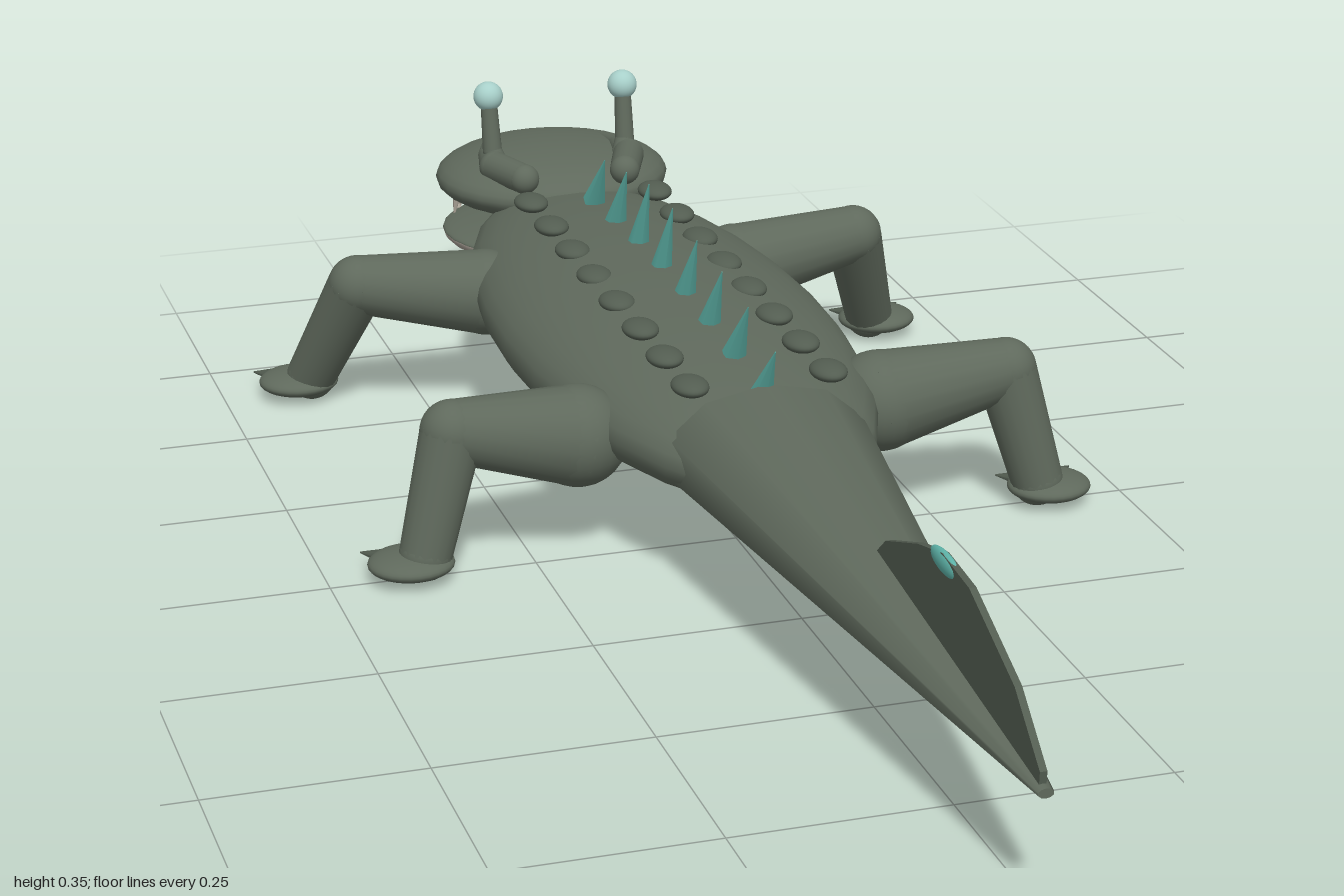
import * as THREE from 'three';

const mat = (name, color) => Object.assign(new THREE.MeshStandardMaterial({ color }), { name });
const V = (x, y, z) => new THREE.Vector3(x, y, z);

export function createModel() {
  const skin = mat('skin green', 0x5f695c);
  const plate = mat('plate green', 0x535d51);
  const belly = mat('pale jaw', 0xa59d93);
  const tooth = mat('tooth', 0xb5ada0);
  const teal = mat('spine teal', 0x5fb5aa);
  const eyeMat = mat('eye pale cyan', 0xa8d0ca);

  const model = new THREE.Group();
  model.name = 'crawlingReptile';

  const add = (name, geo, material, parent = model) => {
    const m = new THREE.Mesh(geo, material);
    m.name = name;
    parent.add(m);
    return m;
  };
  const ellipsoid = (name, c, r, material, parent, ...arc) => {
    const m = add(name, new THREE.SphereGeometry(1, 28, 18, ...arc), material, parent);
    m.position.copy(c);
    m.scale.set(...r);
    return m;
  };
  // Tapered round bar from a to b
  const bar = (name, a, b, ra, rb, material, parent, sides = 18) => {
    const d = b.clone().sub(a);
    const m = add(name, new THREE.CylinderGeometry(rb, ra, d.length(), sides), material, parent);
    m.position.copy(a).add(b).multiplyScalar(0.5);
    m.quaternion.setFromUnitVectors(V(0, 1, 0), d.normalize());
    return m;
  };
  // Chain of bars with rounded joints
  const chain = (name, pts, radii, material, parent) => {
    pts.forEach((p, i) => {
      ellipsoid(name + 'Joint', p, [radii[i], radii[i], radii[i]], material, parent);
      if (i) bar(name, pts[i - 1], p, radii[i - 1], radii[i], material, parent);
    });
  };

  // Body
  ellipsoid('body', V(0, 0.158, -0.3), [0.208, 0.088, 0.56], skin);

  // Tail: flattened cone whose axis sinks towards the tip
  const tailGeo = new THREE.CylinderGeometry(0.07, 1, 1, 10).rotateX(Math.PI / 2);
  const p = tailGeo.attributes.position;
  for (let i = 0; i < p.count; i++) {
    const t = p.getZ(i) + 0.5;
    p.setXYZ(i, p.getX(i) * 0.126, p.getY(i) * 0.078 + 0.16 - 0.03 * t, 0.115 + 0.885 * t);
  }
  tailGeo.computeVertexNormals();
  add('tail', tailGeo, skin);

  // Tail fin, drawn in z and y
  const fin = new THREE.Shape([[0.5, 0.18], [0.54, 0.213], [0.64, 0.25], [0.71, 0.268], [0.79, 0.262],
    [0.92, 0.21], [0.992, 0.15], [0.99, 0.13], [0.75, 0.15]].map(([z, y]) => new THREE.Vector2(z, y)));
  const finGeo = new THREE.ExtrudeGeometry(fin, { depth: 0.008, bevelEnabled: false });
  finGeo.translate(0, 0, -0.004).rotateY(-Math.PI / 2);
  add('tailFin', finGeo, plate);
  ellipsoid('finSpot', V(0, 0.257, 0.712), [0.007, 0.012, 0.042], teal);

  // Head and jaw
  ellipsoid('head', V(0, 0.206, -0.836), [0.159, 0.046, 0.148], skin);
  const jaw = V(0, 0.134, -0.832);
  ellipsoid('jawTop', jaw, [0.152, 0.018, 0.144], skin, model, 0, Math.PI * 2, 0, Math.PI / 2);
  ellipsoid('jawUnderside', jaw, [0.152, 0.038, 0.144], belly, model, 0, Math.PI * 2, Math.PI / 2, Math.PI / 2);
  ellipsoid('throat', V(0, 0.16, -0.75), [0.1, 0.035, 0.08], skin);

  // Two rows of teeth around the snout
  const teeth = new THREE.Group();
  teeth.name = 'teeth';
  model.add(teeth);
  for (let i = 0; i < 11; i++) {
    const a = (i - 5) * 0.23;
    const at = (r, y) => V(0.132 * r * Math.sin(a), y, -0.836 - 0.148 * r * Math.cos(a));
    bar('upperTooth', at(0.98, 0.176), at(1.03, 0.135), 0.007, 0.0008, tooth, teeth, 6);
    const b = (i - 5) * 0.21 + 0.1;
    const low = (r, y) => V(0.132 * r * Math.sin(b), y, -0.836 - 0.148 * r * Math.cos(b));
    bar('lowerTooth', low(0.97, 0.122), low(1.09, 0.156), 0.007, 0.0008, tooth, teeth, 6);
  }

  for (const s of [-1, 1]) {
    const side = s > 0 ? 'left' : 'right';

    // Brow ridge and eye stalk
    chain(side + 'Brow', [V(s * 0.07, 0.24, -0.715), V(s * 0.094, 0.24, -0.78), V(s * 0.092, 0.241, -0.83),
      V(s * 0.078, 0.238, -0.895)], [0.02, 0.021, 0.012, 0.004], skin);
    chain(side + 'EyeStalk', [V(s * 0.086, 0.235, -0.785), V(s * 0.093, 0.258, -0.795), V(s * 0.094, 0.325, -0.806)],
      [0.015, 0.013, 0.011], skin);
    ellipsoid(side + 'Eye', V(s * 0.094, 0.331, -0.808), [0.02, 0.02, 0.02], eyeMat);

    // Row of back plates
    for (let i = 0; i < 8; i++) {
      ellipsoid(side + 'BackPlate', V(s * 0.085, 0.237, -0.624 + i * 0.102), [0.022, 0.011, 0.03], plate);
    }

    // Legs: hip, knee and ankle, then foot with claws
    const legs = [
      ['FrontLeg', [0.17, 0.15, -0.54], [0.338, 0.175, -0.548], [0.388, 0.03, -0.622], 0.056, -0.633],
      ['HindLeg', [0.19, 0.145, -0.025], [0.347, 0.175, -0.008], [0.386, 0.03, 0.008], 0.062, 0.005],
    ];
    for (const [name, hip, knee, ankle, r, fz] of legs) {
      const leg = new THREE.Group();
      leg.name = side + name;
      model.add(leg);
      chain('limb', [hip, knee, ankle].map(([x, y, z]) => V(s * x, y, z)), [r, 0.038, 0.032], skin, leg);
      ellipsoid('foot', V(s * 0.403, 0.02, fz), [0.052, 0.016, 0.049], skin, leg);
      for (const a of [-0.72, 0, 0.72]) {
        const reach = a ? 0.074 : 0.064;
        const at = (d, y) => V(s * 0.403 + Math.sin(a) * d, y, fz - Math.cos(a) * d);
        bar('claw', at(0.03, 0.02), at(reach, 0.017), 0.012, 0.001, plate, leg, 8);
      }
    }
  }

  // Spines along the back, leaning to the tail
  [0.305, 0.32, 0.335, 0.335, 0.326, 0.32, 0.31, 0.29].forEach((tip, i) => {
    const z = -0.62 + i * 0.102;
    const base = i === 7 ? 0.215 : 0.232;
    bar('backSpine', V(0, base, z), V(0, tip, z + 0.055), 0.015, 0.0006, teal, model, 6);
  });

  return model;
}
